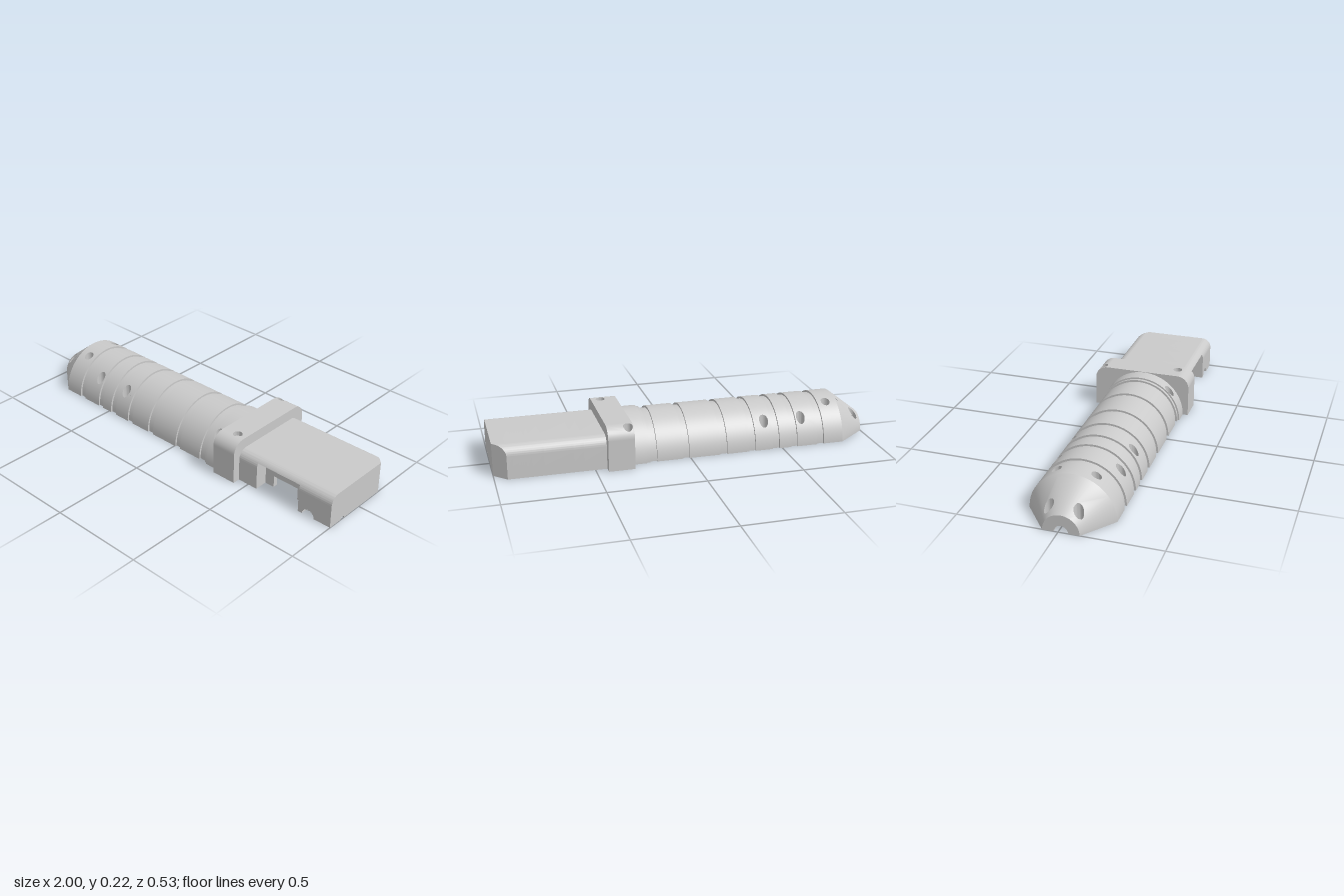
import * as THREE from 'three';
import { toCreasedNormals, mergeGeometries } from 'three/addons/utils/BufferGeometryUtils.js';

const C = 0.013;                      // z of the barrel axis
const BORE = 0.024, PIN = 0.012;      // screw counterbore and through-hole radii
const COLLAR = { x0: 0.305, x1: 0.44, half: 0.264, round: 0.065, side: 0.16 };
const BLOCK = { half: 0.224, round: 0.05, top: 0.17, cut: 0.16 };
const screws = [[-0.955, -0.058], [-0.955, 0.085], [-0.78, -0.084], [-0.78, 0.11], [-0.615, -0.147], [-0.615, 0.173],
  [-0.41, -0.147], [-0.41, 0.173], [0.257, 0.17], [0.332, -0.228], [0.39, 0.181]];
const V2 = (x, y) => new THREE.Vector2(x, y);
const V3 = (x, y, z) => new THREE.Vector3(x, y, z);

// Strip of faces between two rows of points
function ribbon(a, b) {
  const pos = [];
  for (let i = 0; i + 1 < a.length; i++) {
    for (const p of [a[i], a[i + 1], b[i + 1], a[i], b[i + 1], b[i]]) pos.push(p.x, p.y, p.z);
  }
  const g = new THREE.BufferGeometry();
  g.setAttribute('position', new THREE.Float32BufferAttribute(pos, 3));
  return toCreasedNormals(g, 0.6);
}

// Round barrel band: w runs across, from -1 to 1
function barrelBand(x0, x1, r0, r1) {
  const slope = (r1 - r0) / (x1 - x0), r = (x) => r0 + slope * (x - x0);
  return {
    x0, x1, r0, r1,
    rows: Array.from({ length: 41 }, (_, i) => -Math.cos(i * Math.PI / 40)),
    toW: (x, z) => (C - z) / r(x),
    point: (x, w) => V3(x, r(x) * Math.sqrt(Math.max(0, 1 - w * w)), C - w * r(x)),
    normal: (p) => V3(-slope * r(p.x), p.y, p.z - C).normalize(),
  };
}

// Rounded top of the collar: w is -z
function collarBand() {
  const { x0, x1, half, round, side } = COLLAR, flat = half - round, rows = [];
  for (let i = 0; i <= 12; i++) rows.push(-flat - round * Math.cos(i * Math.PI / 24));
  for (let i = 1; i < 10; i++) rows.push(-flat + i * flat / 5);
  for (let i = 12; i >= 0; i--) rows.push(flat + round * Math.cos(i * Math.PI / 24));
  return {
    x0, x1, rows,
    toW: (x, z) => -z,
    point: (x, w) => {
      const d = Math.max(0, Math.abs(w) - flat);
      return V3(x, side + Math.sqrt(Math.max(0, round * round - d * d)), -w);
    },
    normal: (p) => V3(0, p.y - side, p.z - THREE.MathUtils.clamp(p.z, -flat, flat)).normalize(),
  };
}

// Points around a screw hole, in plan
const ringAround = ([x, z], r) => Array.from({ length: 25 }, (_, i) =>
  [x + r * Math.cos(i * Math.PI / 12), z + r * Math.sin(i * Math.PI / 12)]);

// Outer skin of a band, with screw holes left open
function skin(band) {
  const { rows, x0, x1 } = band, pieces = [];
  const holes = screws.filter(([x]) => x > x0 && x < x1).map((s) => {
    const pts = ringAround(s, BORE).slice(0, 24).map(([x, z]) => V2(x, band.toW(x, z)));
    const ws = pts.map((p) => p.y), lo = Math.min(...ws), hi = Math.max(...ws);
    let a = rows.length - 2, b = 1;
    while (a > 0 && rows[a] > lo - 0.002) a--;
    while (b < rows.length - 1 && rows[b] < hi + 0.002) b++;
    return { pts, a, b };
  });
  for (let i = 0; i < rows.length - 1;) {
    const hole = holes.find((h) => h.a === i), end = hole ? hole.b : i + 1;
    const part = rows.slice(i, end + 1);
    const shape = new THREE.Shape([...part.map((w) => V2(x0, w)), ...part.reverse().map((w) => V2(x1, w))]);
    if (hole) shape.holes.push(new THREE.Path(hole.pts));
    const g = new THREE.ShapeGeometry(shape), pos = g.attributes.position;
    for (let k = 0; k < pos.count; k++) {
      const p = band.point(pos.getX(k), pos.getY(k)), n = band.normal(p);
      pos.setXYZ(k, p.x, p.y, p.z);
      g.attributes.normal.setXYZ(k, n.x, n.y, n.z);
    }
    pieces.push(g);
    i = end;
  }
  return mergeGeometries(pieces);
}

// Cross-section of the rear block; shape x is -z
function blockProfile(bottom, recess, cutBack) {
  const { half, round, top, cut } = BLOCK, s = new THREE.Shape();
  s.moveTo(cutBack ? cut : half, 0);
  if (cutBack) {
    s.lineTo(cut, top);
  } else {
    s.lineTo(half, top - round);
    s.absarc(half - round, top - round, round, 0, Math.PI / 2, false);
  }
  s.absarc(round - half, top - round, round, Math.PI / 2, Math.PI - (recess ? 0.5468 : 0), false);
  if (recess) s.lineTo(-0.155, 0.146);
  for (const [x, y] of bottom) s.lineTo(x, y);
  return s;
}

// Extrude a cross-section along x
const alongX = (shape, x0, x1) => new THREE.ExtrudeGeometry(shape, { depth: x1 - x0, bevelEnabled: false, curveSegments: 12 })
  .rotateY(Math.PI / 2).translate(x0, 0, 0);

export function createModel() {
  const model = new THREE.Group();
  const grey = new THREE.MeshStandardMaterial({ color: 0xcacaca, side: THREE.DoubleSide });
  grey.name = 'plain grey';
  const add = (name, g) => {
    const m = new THREE.Mesh(g, grey);
    m.name = name;
    model.add(m);
    return m;
  };

  // Barrel: conical nose, then lands and grooves, then the shoulder
  const xs = [-0.84, -0.733, -0.695, -0.585, -0.55, -0.485, -0.447, -0.353, -0.318, -0.198, -0.16, 0.005, 0.038, 0.175, 0.214, 0.23];
  const bands = [barrelBand(-1, -0.84, 0.09, 0.215)];
  for (let i = 0; i + 1 < xs.length; i++) {
    const r = i % 2 ? 0.205 : 0.215;
    bands.push(barrelBand(xs[i], xs[i + 1], r, r));
  }
  bands.push(barrelBand(0.23, 0.305, 0.223, 0.223));
  const halfRing = (x, a, b) => add('barrelStep', new THREE.RingGeometry(Math.min(a, b), Math.max(a, b), 40, 1, 0, Math.PI)
    .rotateY(Math.PI / 2).translate(x, 0, C));
  halfRing(-1, 0.035, 0.09);
  bands.forEach((b, i) => {
    add(i ? 'barrelBand' : 'nose', skin(b));
    if (i && b.r0 !== bands[i - 1].r1) halfRing(b.x0, bands[i - 1].r1, b.r0);
  });

  // Collar
  const collar = collarBand();
  add('collarTop', skin(collar));
  for (const x of [COLLAR.x0, COLLAR.x1]) {
    const s = new THREE.Shape([V2(-COLLAR.half, 0), ...collar.rows.map((w) => V2(w, collar.point(0, w).y)), V2(COLLAR.half, 0)]);
    if (x === COLLAR.x0) s.absarc(-C, 0, 0.2, 0, Math.PI, false);
    add('collarEnd', new THREE.ShapeGeometry(s, 32).rotateY(Math.PI / 2).translate(x, 0, 0));
  }
  for (const z of [-COLLAR.half, COLLAR.half]) {
    add('collarSide', new THREE.PlaneGeometry(COLLAR.x1 - COLLAR.x0, COLLAR.side)
      .rotateY(z < 0 ? Math.PI : 0).translate((COLLAR.x0 + COLLAR.x1) / 2, COLLAR.side / 2, z));
  }

  // Hollow inside: long channel, round well, wide bay and a narrow duct under the collar
  const depth = 0.115, wellX = -0.094, wellR = 0.165, lane = 0.075, a0 = Math.asin(lane / wellR);
  const side = [V2(-0.62, 0.02), V2(-0.62, lane)];
  for (let i = 0; i <= 16; i++) {
    const t = Math.PI - a0 - (Math.PI - 2 * a0) * i / 16;
    side.push(V2(wellX + wellR * Math.cos(t), wellR * Math.sin(t)));
  }
  side.push(V2(0.1, lane), V2(0.1, 0.12));
  const hollow = [...side.map((p) => V2(p.x, -p.y)), V2(0.29, -0.12), V2(0.29, 0.03), V2(0.43, 0.03), V2(0.43, 0.12),
    ...side.reverse()].map((p) => V2(p.x, p.y + C));
  add('hollowWall', ribbon(hollow.map((p) => V3(p.x, 0, p.y)), hollow.map((p) => V3(p.x, depth, p.y))));
  add('hollowRoof', new THREE.ShapeGeometry(new THREE.Shape(hollow)).rotateX(Math.PI / 2).translate(0, depth, 0));
  add('hollowEnd', new THREE.PlaneGeometry(0.04, depth - 0.02).rotateY(Math.PI / 2).translate(-0.62, (depth + 0.02) / 2, C));

  // Stepped round groove through the nose
  for (const [x0, x1, r] of [[-1, -0.78, 0.035], [-0.78, -0.62, 0.02]]) {
    add('noseGroove', new THREE.CylinderGeometry(r, r, x1 - x0, 20, 1, true, 0, Math.PI)
      .rotateZ(Math.PI / 2).translate((x0 + x1) / 2, 0, C));
  }
  halfRing(-0.78, 0.02, 0.035);

  // Ring standing in the well
  const ringShape = new THREE.Shape().absarc(0, 0, 0.132, 0, Math.PI * 2, false);
  ringShape.holes.push(new THREE.Path().absarc(0, 0, 0.118, 0, Math.PI * 2, true));
  add('wellRing', toCreasedNormals(new THREE.ExtrudeGeometry(ringShape, { depth: depth - 0.005, bevelEnabled: false, curveSegments: 24 })
    .rotateX(-Math.PI / 2), 0.6)).position.set(wellX, 0.005, C);

  // Flat underside around the hollow
  const rim = bands.flatMap((b) => [V2(b.x0, b.r0), V2(b.x1, b.r1)]);
  const edge = (sgn) => [...rim.map((p) => V2(p.x, C + sgn * p.y)),
    V2(COLLAR.x0, sgn * COLLAR.half), V2(COLLAR.x1, sgn * COLLAR.half)];
  const slot = (sgn) => [V2(-1, C + sgn * 0.035), V2(-0.78, C + sgn * 0.035), V2(-0.78, C + sgn * 0.02)];
  const under = new THREE.Shape([...edge(1), ...edge(-1).reverse(), ...slot(-1), ...hollow, ...slot(1).reverse()]);
  for (const s of screws) under.holes.push(new THREE.Path(ringAround(s, PIN).slice(0, 24).map(([x, z]) => V2(x, z))));
  add('underside', new THREE.ShapeGeometry(under).rotateX(Math.PI / 2));

  // Counterbored screw holes
  for (const s of screws) {
    const band = [...bands, collar].find((b) => s[0] > b.x0 && s[0] < b.x1);
    const top = ringAround(s, BORE).map(([x, z]) => band.point(x, band.toW(x, z)));
    const floor = Math.max(0.02, Math.min(...top.map((p) => p.y)) - 0.025);
    add('counterbore', ribbon(top, top.map((p) => V3(p.x, floor, p.z))));
    add('screwSeat', new THREE.RingGeometry(PIN, BORE, 24).rotateX(-Math.PI / 2).translate(s[0], floor, s[1]));
    add('screwHole', new THREE.CylinderGeometry(PIN, PIN, floor, 24, 1, true).translate(s[0], floor / 2, s[1]));
  }

  // Rear block, built in slices along x
  const { half, round, top, cut } = BLOCK;
  const slab = (x0, x1, bottom, recess, cutBack) =>
    add('rearBlock', toCreasedNormals(alongX(blockProfile(bottom, recess, cutBack), x0, x1), 0.5));
  const duct = [[-0.13, 0], [-0.13, 0.065], [-0.05, 0.065], [-0.05, 0]];
  slab(0.44, 0.553, [[-half, 0], ...duct]);
  slab(0.553, 0.605, [[-0.155, 0], ...duct], true);
  slab(0.605, 0.752, [[-0.155, 0.063], [0, 0.063], [0, 0]], true);
  slab(0.752, 0.81, [[-0.155, 0]], true);
  slab(0.81, 0.835, [[-half, 0]]);
  // Round cross channel with a wider mouth
  const n = 14, w = 0.07 / n;
  for (let i = 0; i < n; i++) {
    const d = (i + 0.5) * w - 0.035;
    const mouth = Math.sqrt(0.035 ** 2 - d * d), bore = Math.sqrt(Math.max(0, 0.018 ** 2 - d * d));
    const inner = bore > 0 ? [[-0.19, bore], [0.2, bore], [0.2, 0]] : [[-0.19, 0]];
    slab(0.835 + i * w, 0.835 + (i + 1) * w, [[-half, mouth], [-0.19, mouth], ...inner]);
  }
  // Small groove to the end face
  const groove = [[-half, 0]];
  for (let i = 0; i <= 10; i++) groove.push([-0.129 - 0.014 * Math.cos(i * Math.PI / 10), 0.014 * Math.sin(i * Math.PI / 10)]);
  slab(0.905, 0.935, groove);
  slab(0.935, 1, groove, false, true);
  // Bevelled back corner: the end cap slants back towards the side
  const corner = new THREE.Shape();
  corner.moveTo(cut, 0);
  corner.lineTo(half, 0);
  corner.lineTo(half, top - round);
  corner.absarc(half - round, top - round, round, 0, Math.PI / 2, false);
  corner.lineTo(cut, top);
  const bevel = alongX(corner, 0.935, 1), p = bevel.attributes.position;
  for (let i = 0; i < p.count; i++) {
    if (p.getX(i) > 0.99) p.setX(i, 0.935 + 0.065 * (half + p.getZ(i)) / (half - cut));
  }
  add('bevelCorner', toCreasedNormals(bevel, 0.5));
  return model;
}
